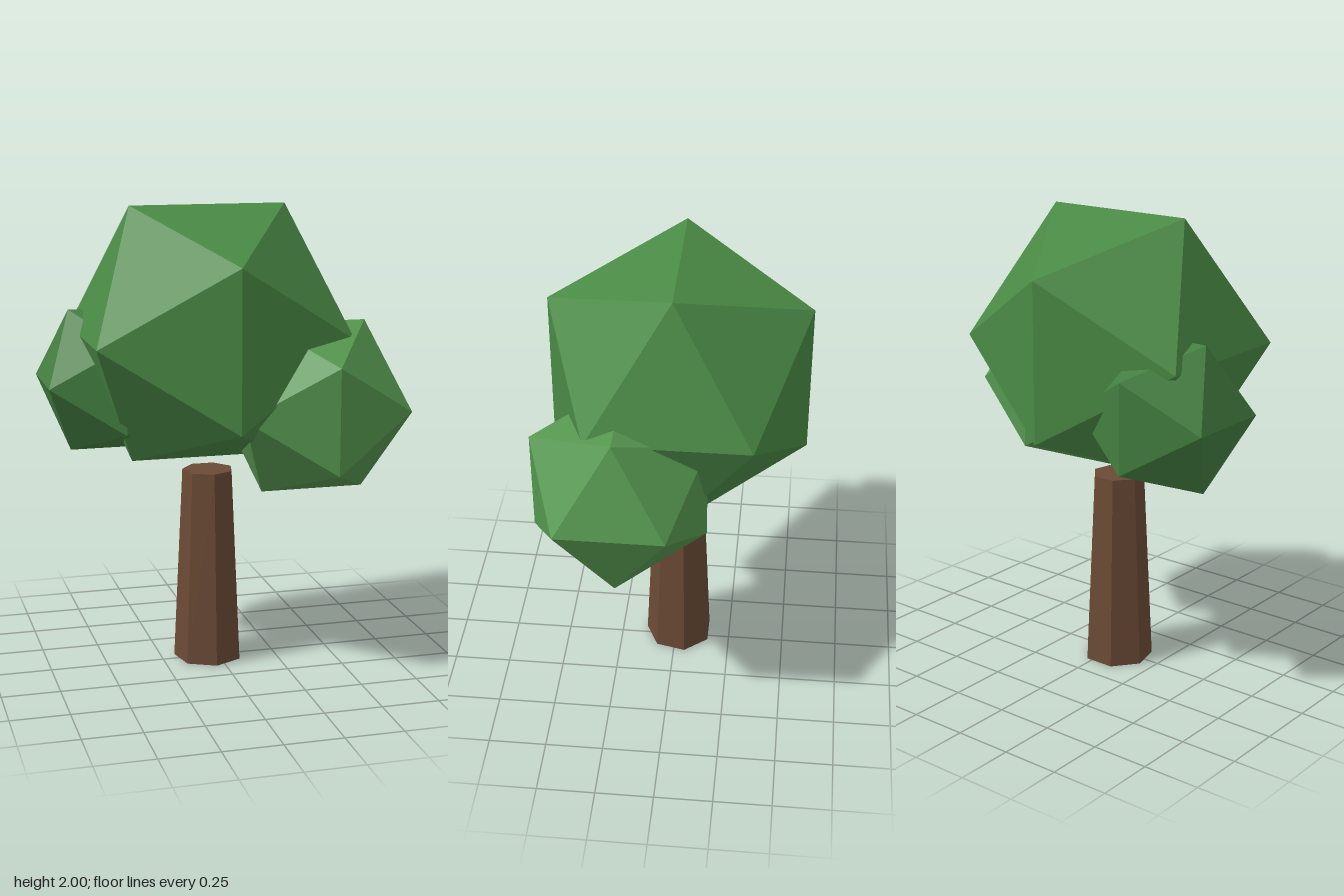
import * as THREE from 'three';

const AXIS_X = -0.04;
const AXIS_Z = -0.015;

function addPart(group, name, geometry, color, position) {
  const material = new THREE.MeshStandardMaterial({ color, flatShading: true });
  const mesh = new THREE.Mesh(geometry, material);
  mesh.name = name;
  mesh.position.set(...position);
  group.add(mesh);
}

export function createModel() {
  const tree = new THREE.Group();
  tree.name = 'tree';

  // Tapered seven-sided trunk
  const height = 0.856;
  addPart(tree, 'trunk', new THREE.CylinderGeometry(0.112, 0.152, height, 7),
    0x6b4a35, [AXIS_X, height / 2, AXIS_Z]);

  // Foliage: three overlapping icosahedra
  const foliage = [
    ['mainCrown', 0.64, 0x4a8a45, [AXIS_X, 1.456, AXIS_Z]],
    ['leftFoliage', 0.426, 0x55964f, [0.365, 1.158, 0.198]],
    ['rightFoliage', 0.362, 0x437f40, [-0.422, 1.243, -0.19]],
  ];
  for (const [name, radius, color, position] of foliage) {
    addPart(tree, name, new THREE.IcosahedronGeometry(radius, 0), color, position);
  }

  return tree;
}
